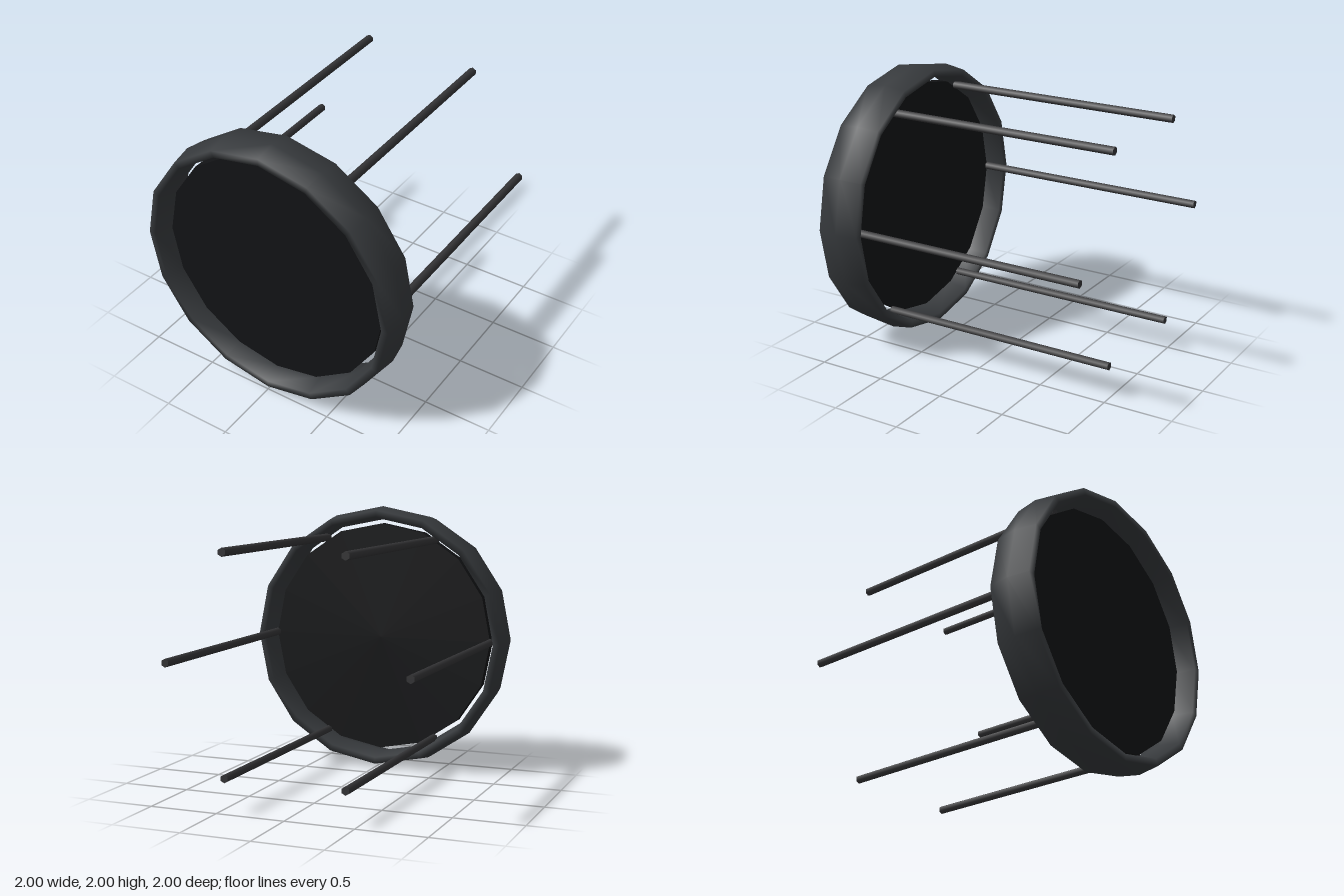
import * as THREE from 'three';

const CENTER_Y = 1;
const RIM_Z = 0.841;
const PANEL_DEPTH = 0.08;
const BACK_Z = -1;

function paint(color) {
  return new THREE.MeshStandardMaterial({ color });
}

export function createModel() {
  const group = new THREE.Group();

  // Rim: a 16-sided ring with a hexagonal section, stretched along its axis
  const rim = new THREE.Mesh(new THREE.TorusGeometry(0.95, 0.05, 6, 16), paint(0x36393c));
  rim.name = 'rim';
  rim.scale.z = 3.67;
  rim.position.set(0, CENTER_Y, RIM_Z);
  group.add(rim);

  // 16-sided panel in the middle of the rim, with a narrow gap around it
  const panelGeometry = new THREE.CylinderGeometry(0.87, 0.87, PANEL_DEPTH, 16).rotateX(Math.PI / 2);
  const panel = new THREE.Mesh(panelGeometry, paint(0x121315));
  panel.name = 'panel';
  panel.position.set(0, CENTER_Y, RIM_Z);
  group.add(panel);

  // Six hexagonal rods running back from the edge of the panel
  const length = RIM_Z - PANEL_DEPTH / 2 - BACK_Z;
  const rodGeometry = new THREE.CylinderGeometry(0.03, 0.03, length, 6).rotateX(Math.PI / 2);
  const rodMaterial = paint(0x343436);
  const rods = new THREE.Group();
  rods.name = 'rods';
  for (let i = 0; i < 6; i++) {
    const angle = (i * Math.PI) / 3;
    const rod = new THREE.Mesh(rodGeometry, rodMaterial);
    rod.name = `rod${i + 1}`;
    rod.position.set(0.873 * Math.cos(angle), CENTER_Y + 0.873 * Math.sin(angle), BACK_Z + length / 2);
    rods.add(rod);
  }
  group.add(rods);

  return group;
}
